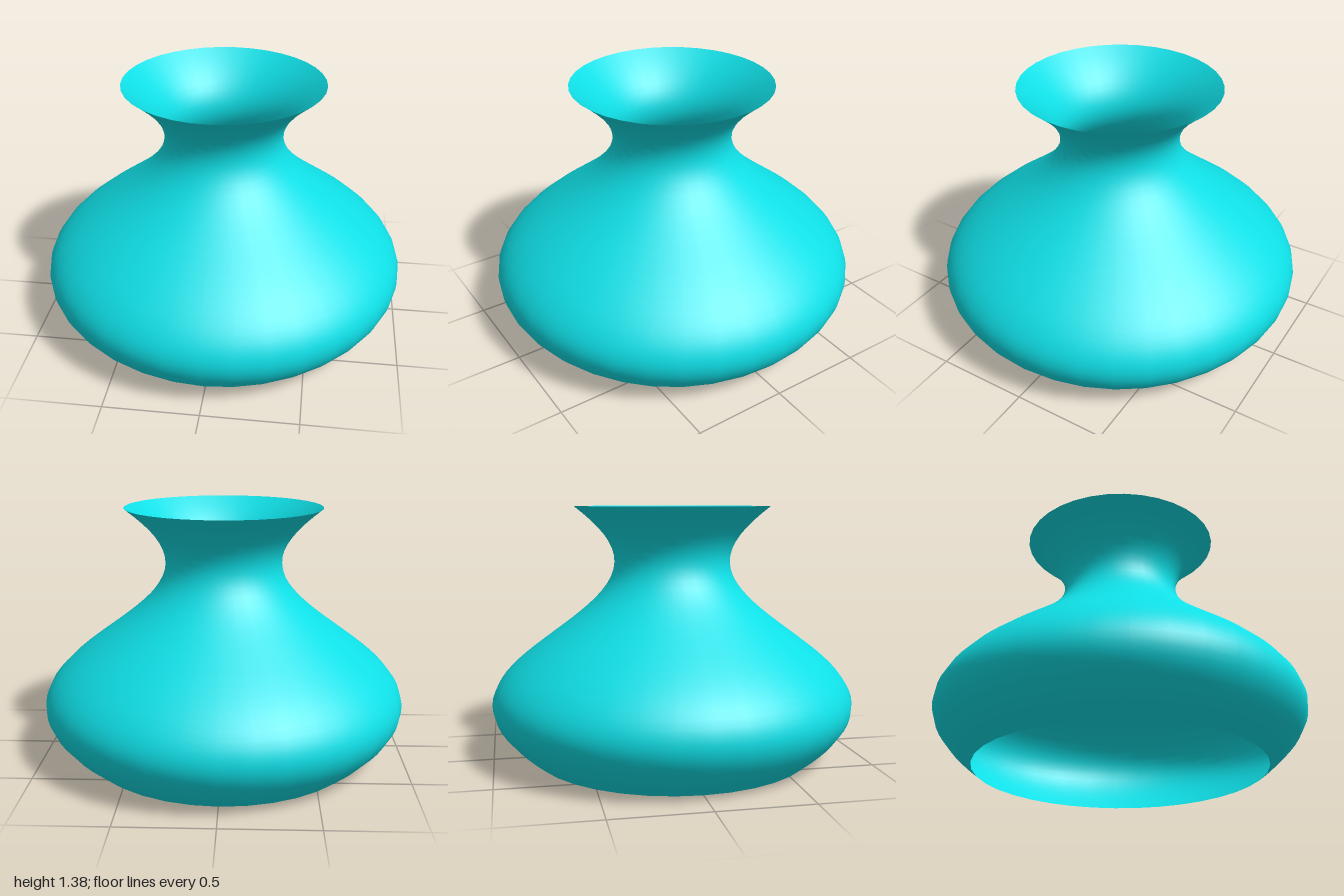
import * as THREE from 'three';

const HEIGHT = 1.38;
const BELLY_Y = 0.3; // height of the widest ring
const HALF_WAVE = 0.78; // vertical distance from belly to neck

// Radius of the wall: a cosine wave from belly (1.0) to neck (0.32)
const radiusAt = (y) => 0.66 + 0.34 * Math.cos((Math.PI * (y - BELLY_Y)) / HALF_WAVE);

export function createModel() {
  const group = new THREE.Group();
  group.name = 'vase';

  // Thin wall, open at the foot and at the rim
  const steps = 36;
  const profile = [];
  for (let i = 0; i <= steps; i++) {
    const y = (HEIGHT * i) / steps;
    profile.push(new THREE.Vector2(radiusAt(y), y));
  }
  const wall = new THREE.Mesh(
    new THREE.LatheGeometry(profile, 36),
    new THREE.MeshStandardMaterial({ color: 0x0fdfe6, side: THREE.DoubleSide })
  );
  wall.name = 'vaseWall';
  group.add(wall);

  return group;
}
